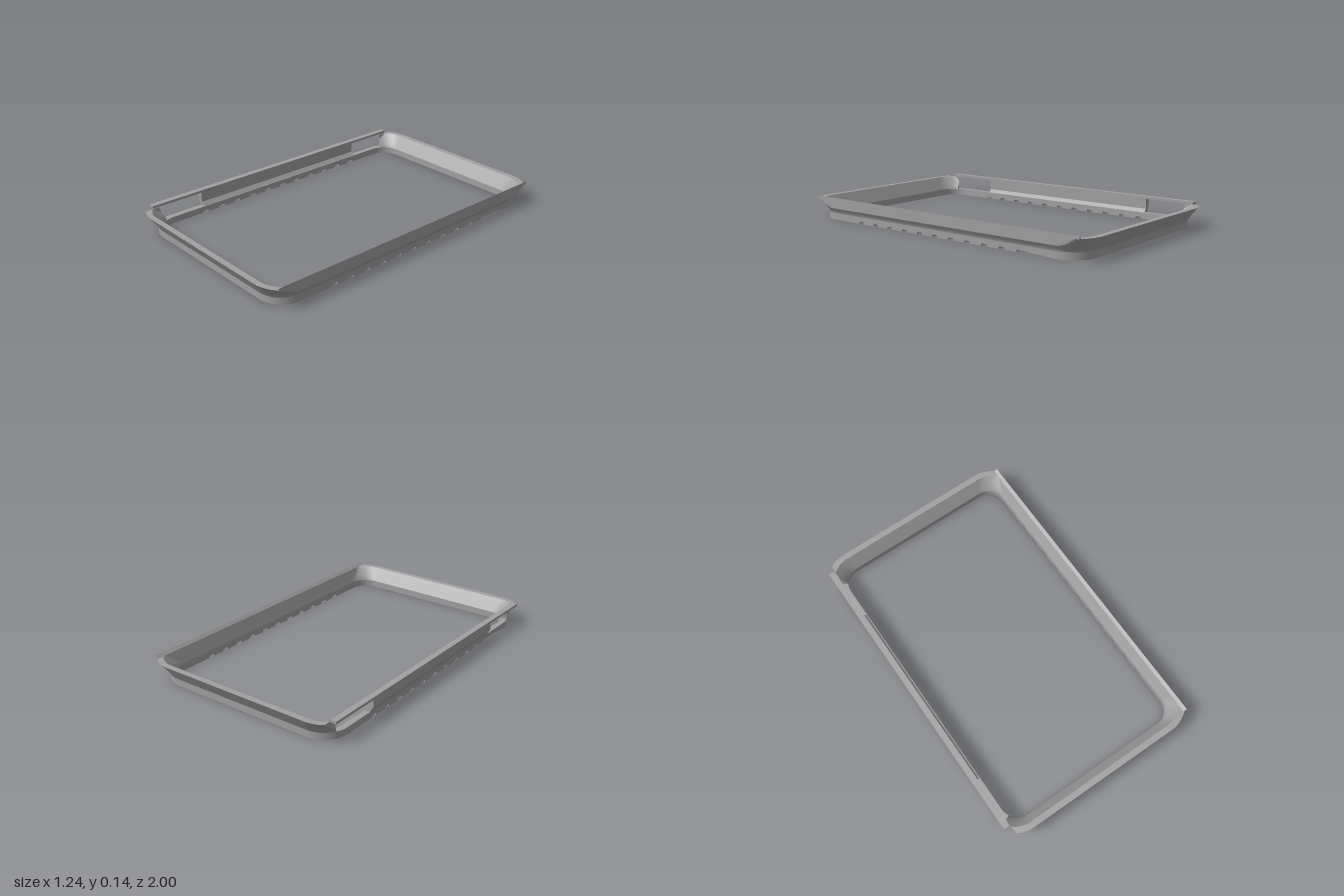
import * as THREE from 'three';
import { toCreasedNormals } from 'three/addons/utils/BufferGeometryUtils.js';

const grey = new THREE.MeshStandardMaterial({ color: 0xa0a0a0 });
grey.name = 'grey';

const BASE_TOP = 0.04, RIM_TOP = 0.12, NOTCH_H = 0.013, WALL = 0.035;

function add(group, name, geometry) {
  const mesh = new THREE.Mesh(toCreasedNormals(geometry, 0.5), grey);
  mesh.name = name;
  group.add(mesh);
  return mesh;
}

function box(group, name, x0, x1, y0, y1, z0, z1) {
  const g = new THREE.BoxGeometry(x1 - x0, y1 - y0, z1 - z0);
  g.translate((x0 + x1) / 2, (y0 + y1) / 2, (z0 + z1) / 2);
  return add(group, name, g);
}

function roundedRect(target, X, Z, r) {
  target.moveTo(X, -Z + r);
  target.absarc(X - r, Z - r, r, 0, Math.PI / 2);
  target.absarc(-X + r, Z - r, r, Math.PI / 2, Math.PI);
  target.absarc(-X + r, -Z + r, r, Math.PI, Math.PI * 1.5);
  target.absarc(X - r, -Z + r, r, Math.PI * 1.5, Math.PI * 2);
  return target;
}

// Extrudes a plan shape upward from y0 to y1
function slab(shape, y0, y1) {
  const g = new THREE.ExtrudeGeometry(shape, { depth: y1 - y0, bevelEnabled: false, curveSegments: 14 });
  g.rotateX(-Math.PI / 2);
  g.translate(0, y0, 0);
  return g;
}

// Extrudes an x-y section along z
function rail(points, z0, z1) {
  const shape = new THREE.Shape(points.map(([x, y]) => new THREE.Vector2(x, y)));
  const g = new THREE.ExtrudeGeometry(shape, { depth: z1 - z0, bevelEnabled: false });
  g.translate(0, 0, z0);
  return g;
}

// Flared wall around the back, right and front, cut flat at the left corners
function flaredWall() {
  const N = 10, M = 2 * (N + 1), ARC = 14, CUT = -0.583;
  const corners = [[-1, -1, 208, 270], [1, -1, 270, 360], [1, 1, 360, 450], [-1, 1, 450, 512]];
  const pos = [], idx = [];
  let stations = 0;
  const point = (sx, sz, a, level, inner) => {
    const t = level / N, off = inner ? WALL : 0;
    const X = 0.6 + 0.07 * t ** 1.4 - off;
    const Z = 0.95 + 0.05 * t - off;
    const r = 0.145 + 0.045 * t - off;
    const limit = inner ? 0.565 + 0.035 * t : 0.618;
    const x = sx * (X - r) + r * Math.cos(a);
    const z = sz * (Z - r) + r * Math.sin(a);
    pos.push(Math.min(limit, Math.max(CUT, x)), BASE_TOP + (RIM_TOP - BASE_TOP) * t, z);
  };
  for (const [sx, sz, from, to] of corners) {
    for (let i = 0; i <= ARC; i++, stations++) {
      const a = THREE.MathUtils.degToRad(from + (to - from) * i / ARC);
      for (let k = 0; k <= N; k++) point(sx, sz, a, k, false);
      for (let k = N; k >= 0; k--) point(sx, sz, a, k, true);
    }
  }
  const quad = (a, b, c, d) => idx.push(a, b, c, a, c, d);
  for (let i = 0; i < stations - 1; i++) {
    for (let j = 0; j < M; j++) {
      const n = (j + 1) % M;
      quad(i * M + j, i * M + n, (i + 1) * M + n, (i + 1) * M + j);
    }
  }
  // end caps
  const last = (stations - 1) * M;
  for (let k = 0; k < N; k++) {
    const i0 = M - 1 - k, i1 = M - 2 - k;
    quad(k, i0, i1, k + 1);
    quad(last + k, last + k + 1, last + i1, last + i0);
  }
  const g = new THREE.BufferGeometry();
  g.setAttribute('position', new THREE.Float32BufferAttribute(pos, 3));
  g.setIndex(idx);
  g.computeVertexNormals();
  return g;
}

export function createModel() {
  const model = new THREE.Group();
  model.name = 'bumperFrame';

  // Base ring above the notches
  const ring = roundedRect(new THREE.Shape(), 0.6, 0.95, 0.145);
  ring.holes.push(roundedRect(new THREE.Path(), 0.565, 0.915, 0.11));
  add(model, 'baseRing', slab(ring, NOTCH_H, BASE_TOP));

  // Notched lower edge: feet along both long sides and a U at each end
  const PITCH = 0.1165, HALF = 0.019, END = 5 * PITCH + HALF;
  for (const s of [-1, 1]) {
    const x0 = s > 0 ? 0.565 : -0.6;
    for (let i = -5; i < 5; i++) {
      box(model, 'edgeTooth', x0, x0 + WALL, 0, NOTCH_H, i * PITCH + HALF, (i + 1) * PITCH - HALF);
    }
    const u = new THREE.Shape();
    u.moveTo(0.6, END);
    u.absarc(0.455, 0.805, 0.145, 0, Math.PI / 2);
    u.absarc(-0.455, 0.805, 0.145, Math.PI / 2, Math.PI);
    u.lineTo(-0.6, END);
    u.lineTo(-0.565, END);
    u.absarc(-0.455, 0.805, 0.11, Math.PI, Math.PI / 2, true);
    u.absarc(0.455, 0.805, 0.11, Math.PI / 2, 0, true);
    u.lineTo(0.565, END);
    const g = slab(u, 0, NOTCH_H);
    if (s > 0) g.rotateY(Math.PI);
    add(model, 'endEdge', g);
  }

  add(model, 'flaredWall', flaredWall());

  // Pointed lip on top of the +x wall
  add(model, 'sideLip', rail([[0.6, RIM_TOP], [0.618, RIM_TOP], [0.618, 0.136]], -0.955, 0.955));

  // Wall on the -x side, open at both ends beneath a full-length rail
  add(model, 'slottedWall', rail([
    [-0.57, BASE_TOP], [-0.59, 0.06], [-0.59, RIM_TOP],
    [-0.622, RIM_TOP], [-0.622, 0.075], [-0.6, BASE_TOP],
  ], -0.62, 0.59));
  box(model, 'topRail', -0.625, -0.59, RIM_TOP, 0.135, -0.93, 0.92);

  return model;
}
